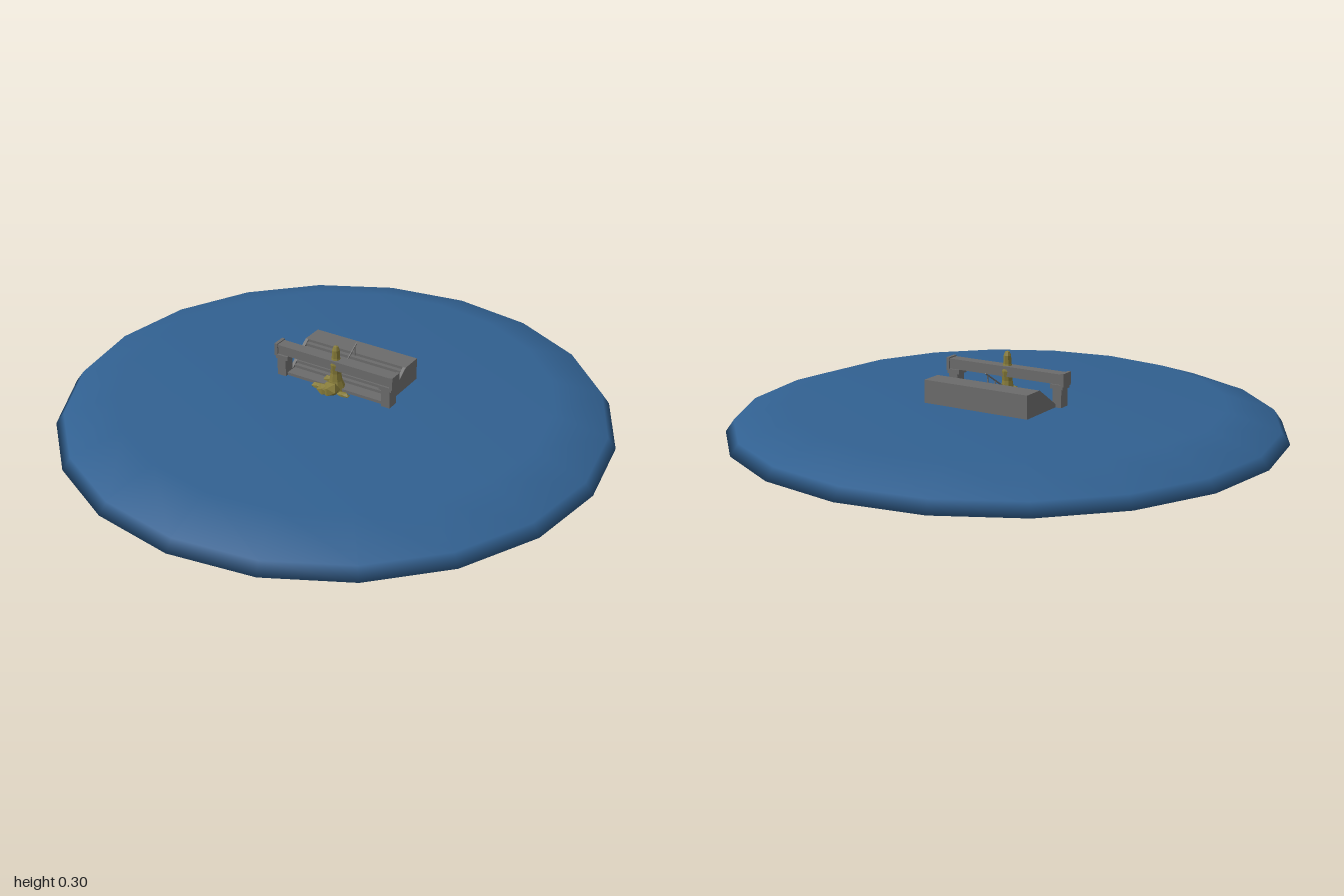
import * as THREE from 'three';

const water = new THREE.MeshStandardMaterial({ color: 0x316090 });
water.name = 'water blue';
const stone = new THREE.MeshStandardMaterial({ color: 0x6b6b6b });
stone.name = 'stone grey';
const gold = new THREE.MeshStandardMaterial({ color: 0x857a38 });
gold.name = 'old gold';

export function createModel() {
  const model = new THREE.Group();
  const add = (name, geometry, material, x = 0, y = 0, z = 0) => {
    const mesh = new THREE.Mesh(geometry, material);
    mesh.name = name;
    mesh.position.set(x, y, z);
    model.add(mesh);
    return mesh;
  };
  // box given by its centre in x and z, and its bottom and top
  const box = (name, w, d, y0, y1, x, z) =>
    add(name, new THREE.BoxGeometry(w, y1 - y0, d), stone, x, (y0 + y1) / 2, z);
  // faceted solid of revolution
  const turned = (points, sides) => {
    const g = new THREE.LatheGeometry(points.map(p => new THREE.Vector2(...p)), sides).toNonIndexed();
    g.computeVertexNormals();
    return g;
  };

  // Round pool of water, twenty sides
  const pool = [[0, 0.006], [0.72, 0.006], [1, 0.02], [0.97, 0.062], [0.78, 0.124], [0, 0.124]];
  add('pool', new THREE.LatheGeometry(pool.map(p => new THREE.Vector2(...p)), 20), water);

  // Sunken foundation
  box('foundation', 0.42, 0.42, 0, 0.1, 0, 0);

  // Side walls of the stairs, sloping up to the landing
  const wall = new THREE.Shape();
  [[0.02, 0.1], [0.02, 0.135], [0.13, 0.208], [0.212, 0.208], [0.212, 0.1]]
    .forEach(([a, b], i) => (i ? wall.lineTo(a, b) : wall.moveTo(a, b)));
  for (const s of [-1, 1]) {
    const g = new THREE.ExtrudeGeometry(wall, { depth: 0.012, bevelEnabled: false });
    g.rotateY(Math.PI / 2);
    add('stairWall', g, stone, s * 0.205 - 0.006, 0, 0);
  }

  // Steps and landing
  const count = 7;
  for (let i = 0; i < count; i++) {
    const front = -0.02 - i * 0.0157;
    const back = front - 0.0157;
    box('step', 0.4, front - back, 0.1, 0.135 + i * 0.0105, 0, (front + back) / 2);
  }
  box('landing', 0.4, 0.082, 0.1, 0.208, 0, -0.171);

  // Middle handrail
  const rail = add('handrail', new THREE.BoxGeometry(0.004, 0.004, 0.145), stone, 0, 0.205, -0.08);
  rail.rotation.x = Math.atan2(0.073, 0.12);
  for (const z of [-0.03, -0.08, -0.13]) {
    const top = 0.205 + (-0.08 - z) * 0.61;
    box('railPost', 0.004, 0.004, top - 0.045, top, 0, z);
  }

  // Gateway: stepped posts carrying a beam
  for (const s of [-1, 1]) {
    box('gatePost', 0.035, 0.045, 0, 0.206, s * 0.217, 0);
    box('postCapital', 0.05, 0.05, 0.19, 0.206, s * 0.215, 0);
    box('beamEnd', 0.012, 0.05, 0.2, 0.248, s * 0.239, 0);
  }
  box('beam', 0.47, 0.036, 0.206, 0.244, 0, 0);
  box('beamCornice', 0.47, 0.044, 0.234, 0.244, 0, 0);
  box('threshold', 0.4, 0.03, 0.1, 0.135, 0, -0.005);

  // Tall golden statue rising through the beam
  add('statue', turned([[0, 0.1], [0.04, 0.12], [0.024, 0.16], [0.019, 0.19], [0.023, 0.225],
    [0.015, 0.25], [0.014, 0.28], [0.008, 0.294], [0, 0.297]], 8), gold);

  // Faceted lumps around its foot: x, y, z, width, height, depth
  const lumps = [[0, 0.137, 0.035, 0.034, 0.03, 0.034], [-0.02, 0.135, 0.045, 0.03, 0.024, 0.024],
    [-0.055, 0.128, 0.026, 0.034, 0.015, 0.014], [0.05, 0.126, 0.03, 0.028, 0.012, 0.014],
    [-0.035, 0.137, -0.022, 0.032, 0.018, 0.014]];
  for (const [x, y, z, w, h, d] of lumps) {
    add('statueBase', new THREE.IcosahedronGeometry(1, 0).scale(w, h, d), gold, x, y, z);
  }
  return model;
}
